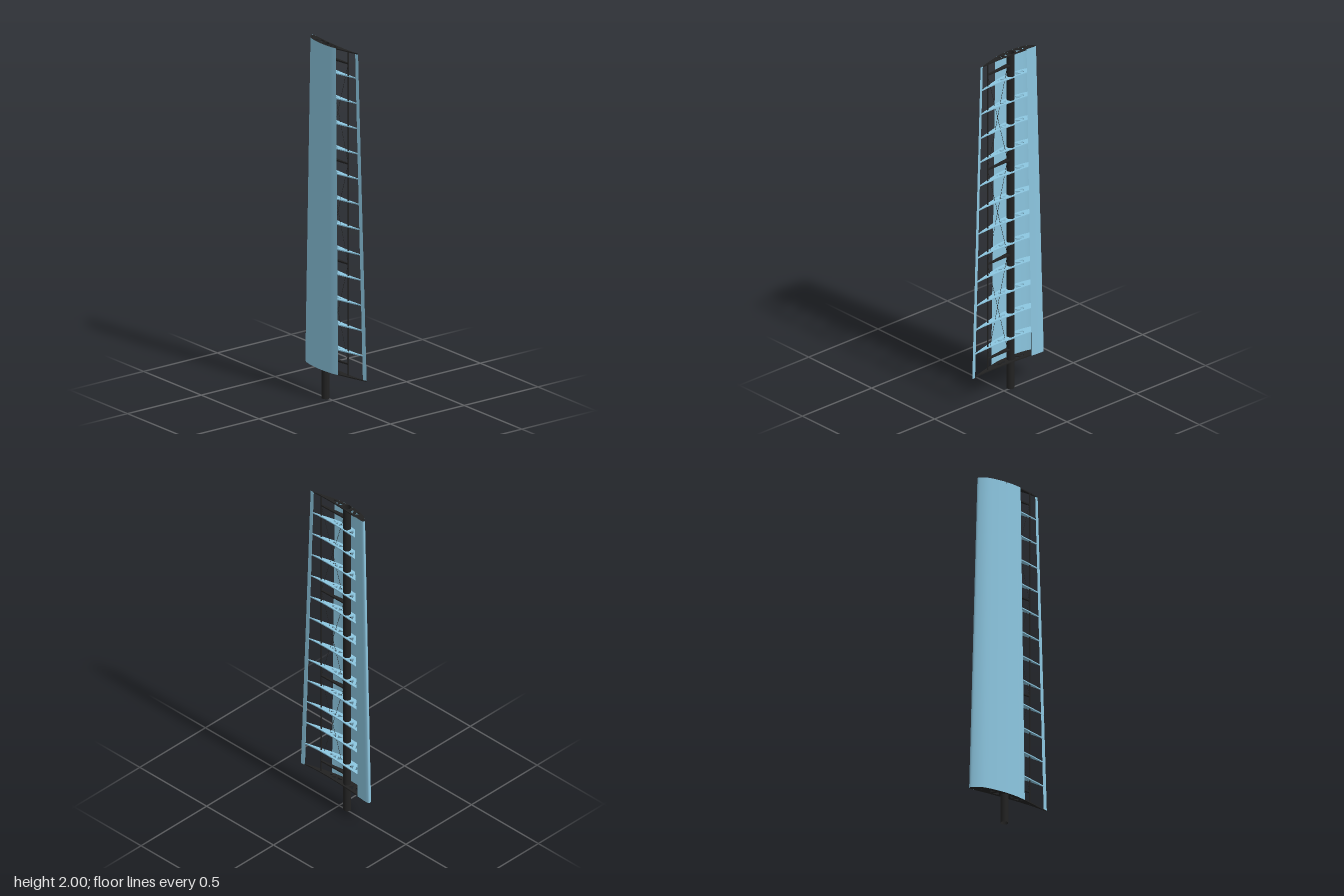
import * as THREE from 'three';

const BASE = 0.165, TOP = 2, BAYS = 13, PITCH = (TOP - BASE) / BAYS;
const MAST = { x: -0.053, z: 0.007, r: 0.021 };
const RODS = [[-0.19, -0.012], [0.125, -0.008]];
const black = new THREE.MeshStandardMaterial({ color: 0x222222, side: THREE.DoubleSide });
const blue = new THREE.MeshStandardMaterial({ color: 0x8cc6e0, side: THREE.DoubleSide });

// Airfoil at the root: front surface from tail to nose, then back surface to the tail
const foil = new THREE.CatmullRomCurve3([
  [0.256, -0.03], [0.188, -0.01], [0.117, 0.009], [0.028, 0.03], [-0.053, 0.036],
  [-0.133, 0.032], [-0.205, 0.018], [-0.24, -0.002], [-0.258, -0.022], [-0.257, -0.033],
  [-0.244, -0.037], [-0.133, -0.029], [0, -0.0215], [0.117, -0.02], [0.19, -0.023], [0.256, -0.03],
].map(([x, z]) => new THREE.Vector3(x, 0, z)), false, 'centripetal').getPoints(300);
const nose = foil.reduce((best, p, i) => (p.x < foil[best].x ? i : best), 0);

// Linear taper towards the tip
const taper = (y) => 1 - 0.225 * (y - BASE) / (TOP - BASE);
const place = (p, y) => {
  const s = taper(y);
  return new THREE.Vector3(-0.038 + (p.x + 0.038) * s, y, p.z * s);
};

function add(group, name, geometry, material) {
  const mesh = new THREE.Mesh(geometry, material);
  mesh.name = name;
  group.add(mesh);
  return mesh;
}

// Skin panel lofted from root to tip along part of the airfoil
function skinGeometry(points) {
  const pos = [], index = [];
  points.forEach((p, i) => {
    pos.push(...place(p, BASE).toArray(), ...place(p, TOP).toArray());
    if (i) {
      const a = 2 * i - 2;
      index.push(a, a + 1, a + 2, a + 2, a + 1, a + 3);
    }
  });
  const g = new THREE.BufferGeometry();
  g.setAttribute('position', new THREE.Float32BufferAttribute(pos, 3));
  g.setIndex(index);
  g.computeVertexNormals();
  return g;
}

// Flat plate lying in the xz plane, starting at height y
function plate(shape, y, depth) {
  return new THREE.ExtrudeGeometry(shape, { depth, bevelEnabled: false, curveSegments: 12 })
    .rotateX(-Math.PI / 2).translate(0, y, 0);
}

// Lightening holes as [x, z] corners
const triangles = [
  [[-0.145, 0.01], [-0.117, 0.011], [-0.133, -0.013]],
  [[-0.115, -0.012], [-0.078, -0.011], [-0.094, 0.017]],
  [[-0.026, 0.011], [0.003, 0.01], [-0.008, -0.011]],
  [[0.003, -0.008], [0.027, -0.006], [0.015, 0.014]],
  [[0.026, 0.009], [0.044, 0.007], [0.038, -0.005]],
];

function ribGeometry(y, depth) {
  const outline = foil.filter((p, i) => i % 3 === 0 && i < 300).map((p) => {
    const q = place(p, y);
    return new THREE.Vector2(q.x * 0.997, -q.z * 0.99);
  });
  const shape = new THREE.Shape(outline);
  const grow = taper(y) / taper(TOP);
  for (const t of triangles) {
    // holes behind the mast follow the taper
    const k = t[0][0] > MAST.x ? grow : 1;
    shape.holes.push(new THREE.Path(t.map(([x, z]) =>
      new THREE.Vector2(MAST.x + (x - MAST.x) * k, -z))));
  }
  for (const [x, z, r] of [[MAST.x, MAST.z, MAST.r], ...RODS.map(([x, z]) => [x, z, 0.004])]) {
    shape.holes.push(new THREE.Path().absarc(x, -z, r, 0, Math.PI * 2, true));
  }
  return plate(shape, y, depth);
}

// Hollow upright tube
function tube(x, z, r, y0, y1, sides) {
  return new THREE.CylinderGeometry(r, r, y1 - y0, sides, 1, true).translate(x, (y0 + y1) / 2, z);
}

export function createModel() {
  const model = new THREE.Group();
  model.name = 'wingSail';

  // Mast and the two slim stringers
  add(model, 'mast', tube(MAST.x, MAST.z, MAST.r, 0, TOP, 32), black);
  RODS.forEach(([x, z], i) =>
    add(model, i ? 'rearStringer' : 'frontStringer', tube(x, z, 0.004, BASE, TOP, 12), black));

  // Skin around the nose and front, and the narrow trailing edge
  add(model, 'leadingSkin', skinGeometry(foil.filter((p, i) =>
    (i <= nose ? p.x <= 0.075 : p.x <= -0.165))), blue);
  add(model, 'trailingEdgeFront', skinGeometry(foil.filter((p, i) => i <= nose && p.x >= 0.23)), blue);
  add(model, 'trailingEdgeBack', skinGeometry(foil.filter((p, i) => i > nose && p.x >= 0.23)), blue);

  // Ribs, with dark end plates
  const ribs = new THREE.Group();
  ribs.name = 'ribs';
  model.add(ribs);
  const thick = 0.006;
  for (let i = 0; i <= BAYS; i++) {
    const end = i === 0 || i === BAYS;
    const y = BASE + i * PITCH - (i === 0 ? 0 : i === BAYS ? thick : thick / 2);
    add(ribs, end ? 'endRib' : 'rib', ribGeometry(y, thick), end ? black : blue);
  }

  // Short struts from the mast to the rear stringer
  const [rx, rz] = RODS[1];
  const strutY = [0, 4, 8, 12].map((i) => BASE + (i + 0.5) * PITCH);
  const strut = new THREE.Shape([
    new THREE.Vector2(MAST.x, 0.007), new THREE.Vector2(MAST.x, -0.021),
    new THREE.Vector2(rx, -rz - 0.004), new THREE.Vector2(rx, -rz + 0.004),
  ]);
  for (const y of strutY) add(model, 'strut', plate(strut, y - 0.004, 0.008), black);

  // Crossed bracing wires between neighbouring struts
  for (let i = 0; i < 3; i++) {
    for (const [a, b] of [[i, i + 1], [i + 1, i]]) {
      const line = new THREE.LineCurve3(
        new THREE.Vector3(MAST.x + MAST.r, strutY[a], MAST.z), new THREE.Vector3(rx, strutY[b], rz));
      add(model, 'bracingWire', new THREE.TubeGeometry(line, 1, 0.001, 6), black);
    }
  }
  return model;
}
